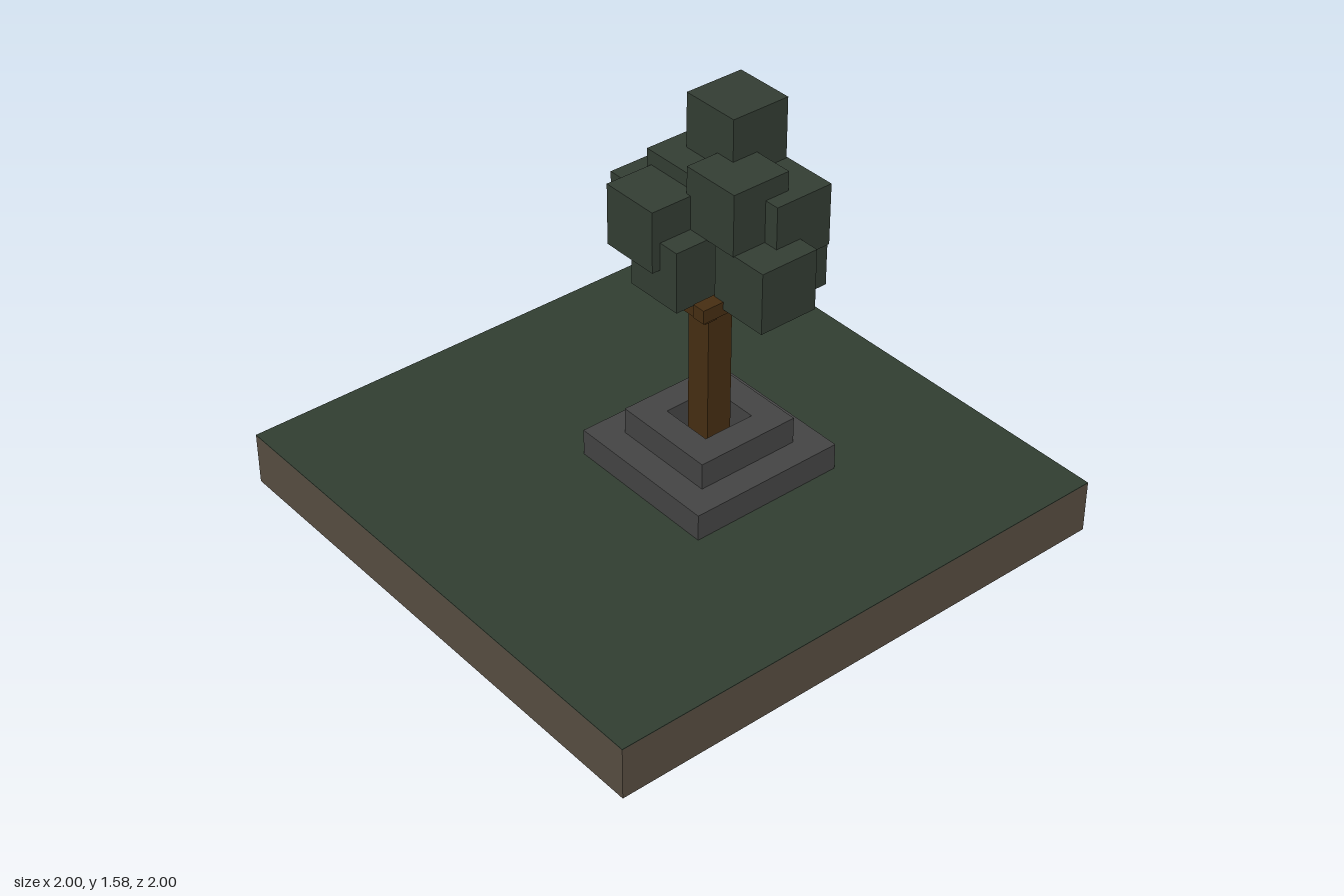
import * as THREE from 'three';

const paint = (color) => new THREE.MeshStandardMaterial({ color, flatShading: true });
const earth = paint(0x574d41), grass = paint(0x313d31), stone = paint(0x444444);
const bark = paint(0x462e12), leaf = paint(0x333d33);

// Box given by its lowest corner and its size
function block(name, material, [x, y, z], [w, h, d]) {
  const mesh = new THREE.Mesh(new THREE.BoxGeometry(w, h, d), material);
  mesh.name = name;
  mesh.position.set(x + w / 2, y + h / 2, z + d / 2);
  return mesh;
}

// Square stone step with a square opening for the trunk
function stoneStep(name, size, y) {
  const square = (path, s) => path.setFromPoints(
    [[-s, -s], [s, -s], [s, s], [-s, s]].map(([a, b]) => new THREE.Vector2(a, b))).closePath();
  const shape = square(new THREE.Shape(), size / 2);
  shape.holes.push(square(new THREE.Path(), 0.1));
  const geometry = new THREE.ExtrudeGeometry(shape, { depth: 0.1, bevelEnabled: false });
  const mesh = new THREE.Mesh(geometry.rotateX(-Math.PI / 2), stone);
  mesh.name = name;
  mesh.position.set(0.1, y, -0.1);
  return mesh;
}

export function createModel() {
  const model = new THREE.Group();
  model.name = 'treeOnGround';

  // Square plot of earth with a grass surface
  model.add(block('earth', earth, [-1, 0, -1], [2, 0.197, 2]));
  model.add(block('grass', grass, [-1, 0.197, -1], [2, 0.003, 2]));

  // Stepped planter
  model.add(stoneStep('lowerStep', 0.6, 0.2), stoneStep('upperStep', 0.4, 0.3));

  // Trunk and short stepped branches
  model.add(block('trunk', bark, [0.05, 0.2, -0.15], [0.1, 0.98, 0.1]));
  const branches = new THREE.Group();
  branches.name = 'branches';
  [
    [[0.1, 0.905, -0.05], [0.05, 0.05, 0.1]],
    [[0.15, 0.905, 0], [0.1, 0.05, 0.05]],
    [[0.25, 0.955, 0], [0.05, 0.05, 0.1]],
    [[-0.05, 0.945, -0.15], [0.1, 0.05, 0.05]],
    [[-0.145, 0.995, -0.15], [0.1, 0.05, 0.05]],
  ].forEach(([corner, size]) => branches.add(block('branch', bark, corner, size)));
  model.add(branches);

  // Crown of equal leaf cubes, each given by its lowest corner
  const crown = new THREE.Group();
  crown.name = 'crown';
  [
    [-0.025, 1.352, -0.325], [0.125, 1.2, -0.2], [-0.1, 1.152, -0.225],
    [0.18, 1.13, -0.33], [-0.205, 1.042, -0.16], [-0.08, 1.1, -0.045],
    [0.258, 0.977, -0.205], [0, 0.977, -0.077], [0.125, 0.93, -0.375],
    [-0.055, 1.065, -0.403], [-0.202, 0.98, -0.375], [-0.145, 0.962, -0.18],
  ].forEach((corner) => crown.add(block('leaves', leaf, corner, [0.224, 0.224, 0.224])));
  model.add(crown);

  return model;
}
